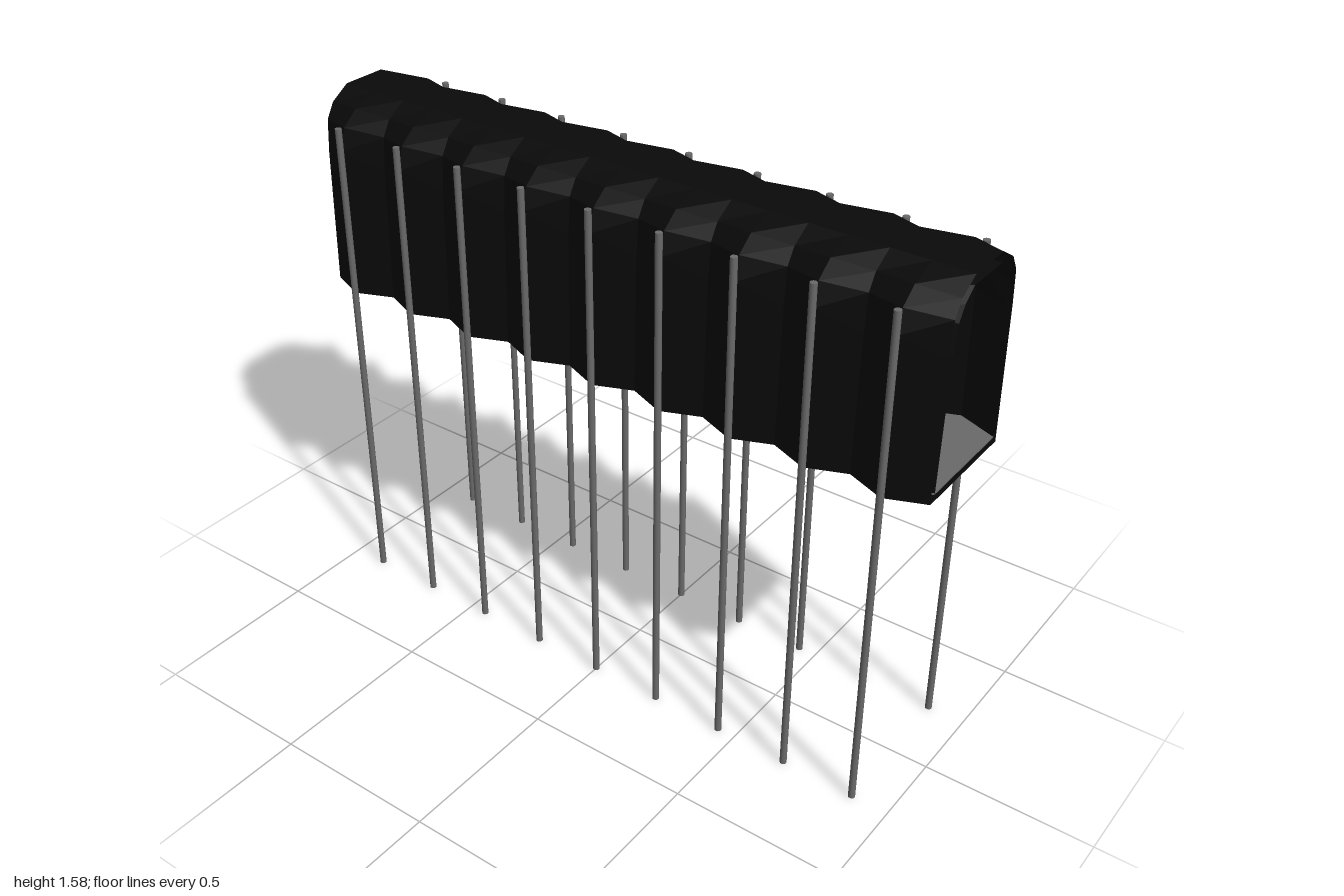
import * as THREE from 'three';

const BAYS = 9;
const STEP = 2 / BAYS;

// Half profiles [x, y] from floor to roof, at the narrow and wide sections
const OUTER = {
  narrow: [[0.175, 1], [0.165, 1.4], [0.157, 1.5], [0.13, 1.545], [0.07, 1.582]],
  wide: [[0.22, 1], [0.22, 1.45], [0.2, 1.515], [0.15, 1.555], [0.07, 1.582]],
};
const INNER = {
  narrow: [[0.156, 1.02], [0.144, 1.4], [0.133, 1.48], [0.11, 1.52], [0.07, 1.553]],
  wide: [[0.2, 1.02], [0.19, 1.4], [0.165, 1.5], [0.13, 1.535], [0.07, 1.553]],
};

// Mirror a half profile into a full arch, right to left
function arch(half) {
  return [...half, ...half.map(([x, y]) => [-x, y]).reverse()];
}

// Pleated sheet swept along z, alternating narrow and wide arches
function pleatedShell({ narrow, wide }) {
  const rings = [arch(narrow), arch(wide)];
  const n = rings[0].length;
  const positions = [];
  const index = [];
  for (let i = 0; i <= BAYS * 2; i++) {
    for (const [x, y] of rings[i % 2]) positions.push(x, y, -1 + (i * STEP) / 2);
  }
  for (let i = 0; i < BAYS * 2; i++) {
    for (let j = 0; j < n - 1; j++) {
      const a = i * n + j, b = a + 1, c = a + n, d = c + 1;
      index.push(a, b, c, b, d, c);
    }
  }
  const geometry = new THREE.BufferGeometry();
  geometry.setAttribute('position', new THREE.Float32BufferAttribute(positions, 3));
  geometry.setIndex(index);
  const flat = geometry.toNonIndexed();
  flat.computeVertexNormals();
  return flat;
}

// Horizontal slab with zigzag long edges
function zigzagSlab(narrow, wide, y, height) {
  const right = [], left = [];
  for (let i = 0; i <= BAYS * 2; i++) {
    const x = i % 2 ? wide : narrow;
    const z = -1 + (i * STEP) / 2;
    right.push(new THREE.Vector2(x, z));
    left.unshift(new THREE.Vector2(-x, z));
  }
  const geometry = new THREE.ExtrudeGeometry(new THREE.Shape([...right, ...left]), {
    depth: height, bevelEnabled: false,
  });
  geometry.rotateX(-Math.PI / 2);
  geometry.translate(0, y, 0);
  return geometry;
}

export function createModel() {
  const black = new THREE.MeshStandardMaterial({ color: 0x0a0a0a, side: THREE.DoubleSide });
  black.name = 'black covering';
  const grey = new THREE.MeshStandardMaterial({ color: 0x6a6a6a });
  grey.name = 'grey metal';

  const group = new THREE.Group();
  const add = (name, geometry, material, parent = group) => {
    const mesh = new THREE.Mesh(geometry, material);
    mesh.name = name;
    parent.add(mesh);
    return mesh;
  };

  // Tunnel covering, open at both ends
  add('outerCover', pleatedShell(OUTER), black);
  add('innerLining', pleatedShell(INNER), black);

  // Floor slab and walking surface
  add('floorSlab', zigzagSlab(0.174, 0.219, 1, 0.02), black);
  add('floorSurface', zigzagSlab(0.158, 0.202, 1.02, 0.004), grey);

  // Poles at each wide section, on both sides
  const poles = new THREE.Group();
  poles.name = 'poles';
  group.add(poles);
  const poleGeometry = new THREE.CylinderGeometry(0.01, 0.01, 1.52, 12);
  for (const side of [1, -1]) {
    for (let i = 0; i < BAYS; i++) {
      const pole = add(side > 0 ? 'leftPole' : 'rightPole', poleGeometry, grey, poles);
      pole.position.set(side * 0.222, 0.76, -1 + (i + 0.5) * STEP);
    }
  }
  return group;
}
